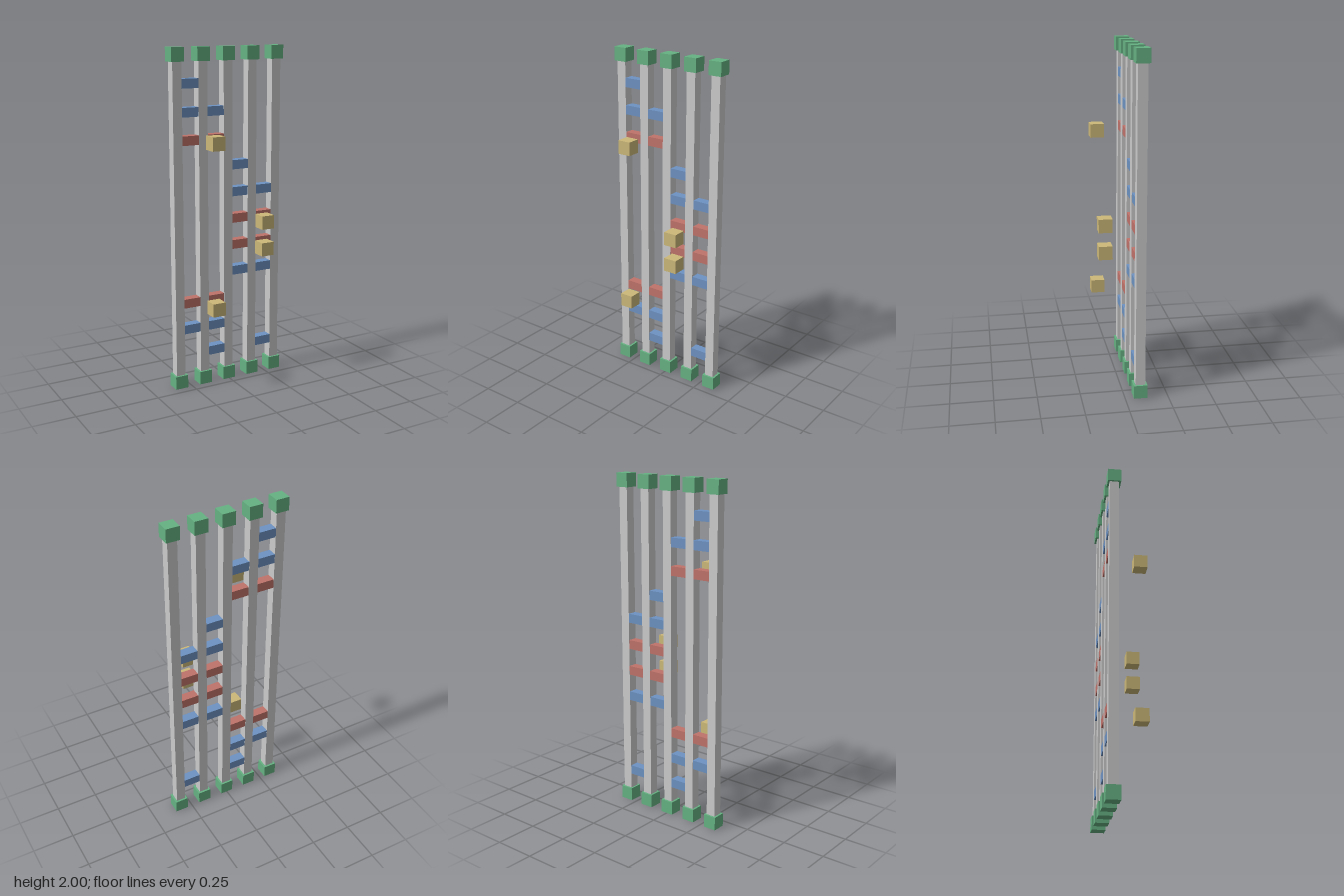
import * as THREE from 'three';

const STEP = 0.16;   // spacing of posts and rung levels
const BAR = 0.056;   // thickness of posts and rungs
const BLOCK = 0.079; // edge of caps and front blocks
const BACK = -0.089; // plane of the lattice
const FRONT = 0.088; // plane of the free blocks

const level = (k) => 0.04 + STEP * k;
const mat = (color) => new THREE.MeshStandardMaterial({ color, flatShading: true });

export function createModel() {
  const model = new THREE.Group();
  const grey = mat(0xcccccc);
  const green = mat(0x66b283);
  const blue = mat(0x6d92c2);
  const red = mat(0xc0736b);
  const gold = mat(0xccb878);

  function box(name, material, size, position) {
    const mesh = new THREE.Mesh(new THREE.BoxGeometry(...size), material);
    mesh.name = name;
    mesh.position.set(...position);
    model.add(mesh);
  }

  // Five upright posts with a cap at each end
  for (let column = -2; column <= 2; column++) {
    const x = column * STEP;
    box('post', grey, [BAR, 2 - BLOCK * 2, BAR], [x, 1, BACK]);
    box('bottomCap', green, [BLOCK, BLOCK, BLOCK], [x, BLOCK / 2, BACK]);
    box('topCap', green, [BLOCK, BLOCK, BLOCK], [x, 2 - BLOCK / 2, BACK]);
  }

  // Rungs: level, first column, last column, material; flush with the outer post faces
  const rungs = [
    [11, -2, -1, blue], [10, -2, 0, blue], [9, -2, 0, red],
    [8, 0, 1, blue], [7, 0, 2, blue], [6, 0, 2, red],
    [5, 0, 2, red], [4, 0, 2, blue],
    [3, -2, 0, red], [2, -2, 0, blue],
    [1, -1, 0, blue], [1, 1, 2, blue],
  ];
  const inset = 0.001; // keeps the rungs just inside the posts
  for (const [k, from, to, material] of rungs) {
    const length = (to - from) * STEP + BAR - inset;
    box(material === red ? 'markedRung' : 'rung', material,
      [length, BAR - 0.002, BAR - inset], [(from + to) / 2 * STEP, level(k), BACK]);
  }

  // Free blocks in front of the marked rungs
  for (const [k, column] of [[9, -1], [6, 1], [5, 1], [3, -1]]) {
    box('frontBlock', gold, [BLOCK, BLOCK, BLOCK], [column * STEP, level(k), FRONT]);
  }

  return model;
}
